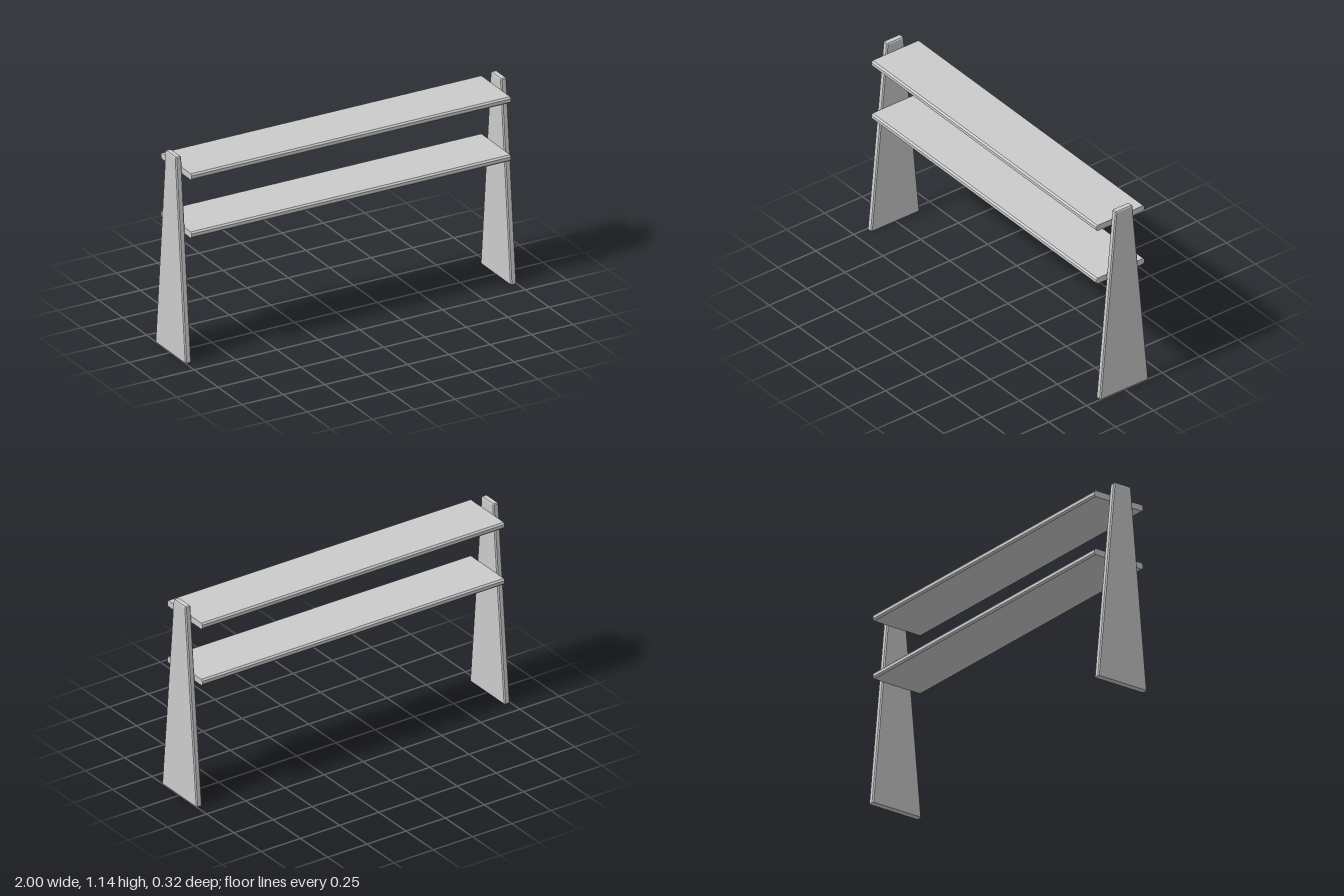
import * as THREE from 'three';
import { ConvexGeometry } from 'three/addons/geometries/ConvexGeometry.js';

const HEIGHT = 1.145, THICK = 0.035, INNER = 1 - THICK;

// Corners of a rectangle with clipped corners, half sizes a and b
function clippedRect(a, b, c) {
  return [[a, c - b], [a, b - c], [a - c, b], [c - a, b],
    [-a, b - c], [-a, c - b], [c - a, -b], [a - c, -b]];
}

// Tapered end panel: clipped sections stacked from the floor to the top
function panelGeometry() {
  const levels = [[0, 0.16, 0], [HEIGHT - 0.006, 0.056, 0], [HEIGHT, 0.0505, 0.004]];
  const points = [];
  for (const [y, halfDepth, inset] of levels) {
    for (const [x, z] of clippedRect(THICK / 2 - inset, halfDepth, 0.006 - inset)) {
      points.push(new THREE.Vector3(x, y, z));
    }
  }
  return new ConvexGeometry(points);
}

// Shelf board with chamfered long edges, running along x
function shelfGeometry() {
  const section = clippedRect(0.16, 0.0178, 0.009).map(([z, y]) => new THREE.Vector2(z, y));
  const geometry = new THREE.ExtrudeGeometry(new THREE.Shape(section), {
    depth: 2 * INNER, bevelEnabled: false,
  });
  return geometry.translate(0, 0, -INNER).rotateY(Math.PI / 2);
}

export function createModel() {
  const model = new THREE.Group();
  model.name = 'shelfBench';
  const material = new THREE.MeshStandardMaterial({ color: 0xcccccc, flatShading: true });

  const add = (name, geometry, x, y) => {
    const mesh = new THREE.Mesh(geometry, material);
    mesh.name = name;
    mesh.position.set(x, y, 0);
    model.add(mesh);
  };

  // End panels
  const panel = panelGeometry();
  add('leftPanel', panel, 1 - THICK / 2, 0);
  add('rightPanel', panel, -1 + THICK / 2, 0);

  // Shelves
  const shelf = shelfGeometry();
  add('lowerShelf', shelf, 0, 0.73);
  add('upperShelf', shelf, 0, 1.065);

  return model;
}
